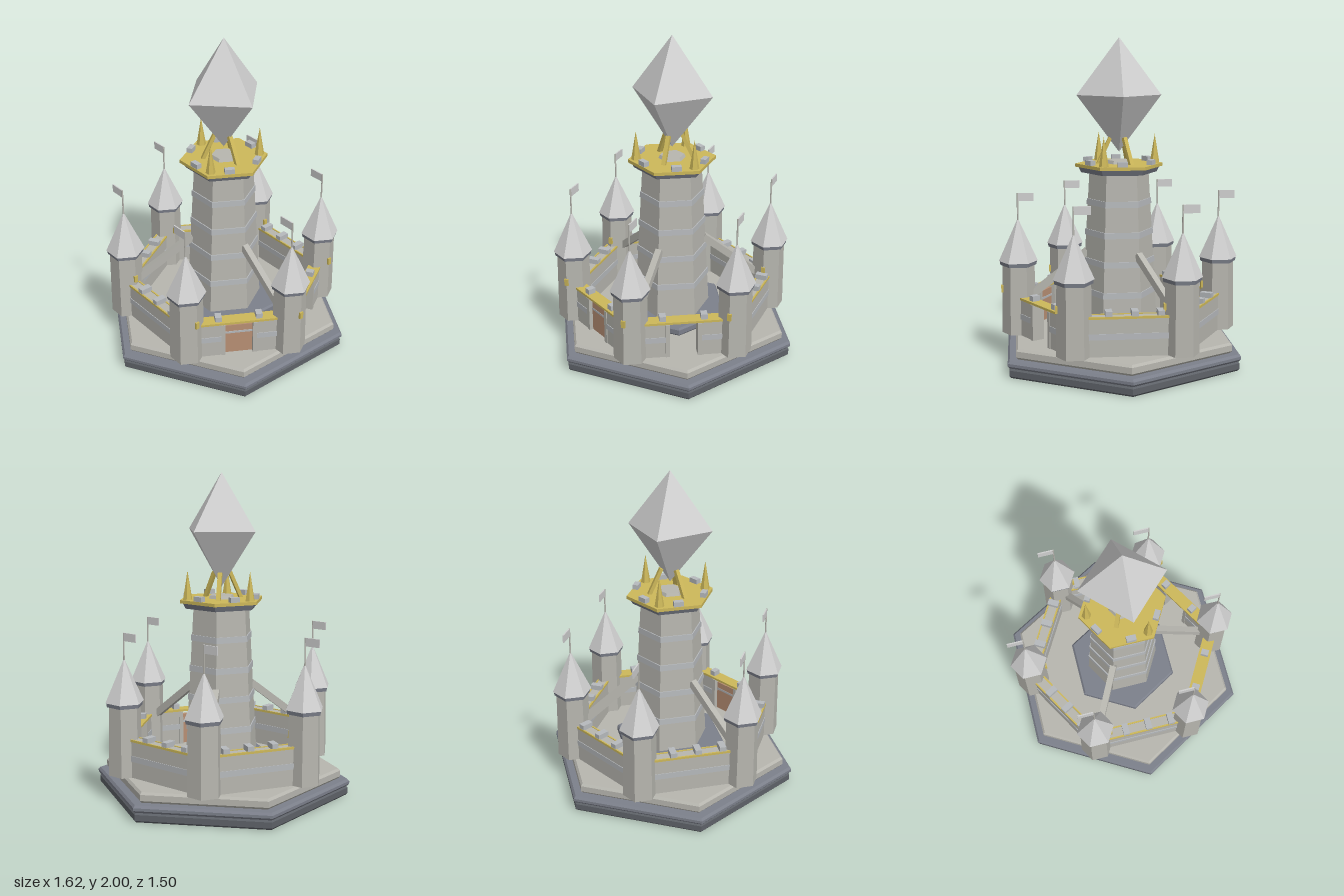
import * as THREE from 'three';

const paint = (name, color) => {
  const m = new THREE.MeshStandardMaterial({ color, flatShading: true });
  m.name = name;
  return m;
};

export function createModel() {
  const stone = paint('stone', 0xb7b6af);
  const trim = paint('paleTrim', 0xb6b9bc);
  const slate = paint('slate', 0x7c808b);
  const dark = paint('darkSlate', 0x5e6268);
  const pale = paint('paleCrystal', 0xd0d0d0);
  const gold = paint('gold', 0xcdb85a);
  const wood = paint('wood', 0xb88f74);

  const root = new THREE.Group();
  root.name = 'castle';

  const add = (parent, name, geometry, material, x = 0, y = 0, z = 0) => {
    const mesh = new THREE.Mesh(geometry, material);
    mesh.name = name;
    mesh.position.set(x, y, z);
    parent.add(mesh);
    return mesh;
  };
  const box = (parent, name, material, w, h, d, x, y, z) =>
    add(parent, name, new THREE.BoxGeometry(w, h, d), material, x, y, z);
  // Six-sided prism from y0 to y1, with a corner facing +z
  const hex = (parent, name, material, r0, r1, y0, y1) =>
    add(parent, name, new THREE.CylinderGeometry(r1, r0, y1 - y0, 6), material, 0, (y0 + y1) / 2, 0);
  // Six-sided slab with bevelled rims and corners on the x axis
  const slab = (name, material, r, y0, y1, b) => {
    const profile = [[0, y0], [r - b, y0], [r, y0 + b], [r, y1 - b], [r - b, y1], [0, y1]]
      .map(([x, y]) => new THREE.Vector2(x, y));
    add(root, name, new THREE.LatheGeometry(profile, 6, Math.PI / 6), material);
  };
  // Square bar between two points
  const bar = (parent, name, material, a, b, w, h) => {
    const mesh = box(parent, name, material, w, h, a.distanceTo(b), 0, 0, 0);
    mesh.position.copy(a).lerp(b, 0.5);
    mesh.lookAt(b);
  };
  const polar = (deg, r, y) => {
    const t = THREE.MathUtils.degToRad(deg);
    return new THREE.Vector3(Math.cos(t) * r, y, Math.sin(t) * r);
  };

  // Stepped base and inner plinth
  slab('baseFoot', dark, 0.8, 0, 0.06, 0.012);
  slab('baseRing', slate, 0.81, 0.06, 0.105, 0.014);
  slab('baseTerrace', stone, 0.752, 0.105, 0.17, 0.014);
  slab('plinth', slate, 0.365, 0.17, 0.225, 0.012);

  // Corner towers with roofs, pennants and small gold plaques
  for (let i = 0; i < 6; i++) {
    const tower = new THREE.Group();
    tower.name = 'cornerTower';
    tower.position.copy(polar(30 + i * 60, 0.63, 0));
    root.add(tower);
    hex(tower, 'towerShaft', stone, 0.106, 0.1, 0.17, 0.605);
    hex(tower, 'towerCollar', slate, 0.112, 0.116, 0.6, 0.627);
    hex(tower, 'towerRoof', pale, 0.121, 0.002, 0.625, 0.89);
    add(tower, 'flagPole', new THREE.CylinderGeometry(0.005, 0.005, 0.18, 6), stone, 0, 0.96, 0);
    box(tower, 'pennant', pale, 0.008, 0.05, 0.1, 0, 1.025, -0.05);
    box(tower, 'towerPlaque', gold, 0.024, 0.045, 0.016, 0, 0.45, 0.101);
  }

  // Curtain walls: local x points outwards, local z runs along the wall
  for (let i = 0; i < 6; i++) {
    const deg = i * 60;
    const gate = deg === 60 || deg === 120;
    const wall = new THREE.Group();
    wall.name = gate ? 'gateWall' : 'curtainWall';
    wall.position.copy(polar(deg, 0.545, 0));
    wall.rotation.y = -THREE.MathUtils.degToRad(deg);
    root.add(wall);
    if (gate) {
      for (const s of [-1, 1]) {
        box(wall, 'wallSection', stone, 0.07, 0.226, 0.19, 0, 0.283, s * 0.18);
        box(wall, 'wallBand', trim, 0.078, 0.036, 0.17, 0, 0.29, s * 0.18);
        box(wall, 'gatePost', stone, 0.08, 0.222, 0.025, 0, 0.281, s * 0.097);
        box(wall, 'merlon', trim, 0.05, 0.036, 0.04, 0, 0.424, s * 0.125);
      }
      box(wall, 'gateLintel', gold, 0.08, 0.014, 0.5, 0, 0.402, 0);
      if (deg === 120) {
        box(wall, 'gateDoor', wood, 0.03, 0.2, 0.172, 0, 0.27, 0);
        box(wall, 'doorStrap', trim, 0.036, 0.014, 0.172, 0, 0.32, 0);
      }
    } else {
      box(wall, 'wallSection', stone, 0.07, 0.235, 0.55, 0, 0.2875, 0);
      box(wall, 'wallBand', trim, 0.078, 0.036, 0.5, 0, 0.29, 0);
      for (const s of [-1, 1]) box(wall, 'wallEdge', gold, 0.01, 0.014, 0.5, s * 0.034, 0.402, 0);
      const flip = deg === 300 ? -1 : 1;
      for (const z of [-0.19, -0.038, 0.115])
        box(wall, 'merlon', trim, 0.074, 0.036, 0.04, 0, 0.42, z * flip);
    }
  }

  // Tapered keep with string courses
  const keepRadius = (y) => 0.243 - 0.058 * (y - 0.17);
  hex(root, 'keepShaft', stone, keepRadius(0.17), keepRadius(1.19), 0.17, 1.19);
  for (const y of [0.42, 0.61, 0.79, 0.98])
    hex(root, 'keepBand', trim, keepRadius(y) + 0.007, keepRadius(y) + 0.005, y - 0.005, y + 0.032);

  // Flying buttresses from three towers up to the keep
  for (const deg of [90, 210, 330])
    bar(root, 'buttress', stone, polar(deg, 0.56, 0.4), polar(deg, 0.2, 0.68), 0.04, 0.045);

  // Crown platform with battlements, spikes and crystal supports
  hex(root, 'crownCorbel', slate, 0.235, 0.255, 1.175, 1.212);
  hex(root, 'crownDeck', gold, 0.272, 0.272, 1.21, 1.23);
  hex(root, 'crystalPedestal', stone, 0.085, 0.075, 1.23, 1.25);
  for (let i = 0; i < 6; i++) {
    const p = polar(i * 60, 0.215, 1.24);
    const m = box(root, 'crownMerlon', trim, 0.035, 0.04, 0.06, p.x, p.y, p.z);
    m.rotation.y = -THREE.MathUtils.degToRad(i * 60);
  }
  for (const deg of [30, 150, 270]) {
    const p = polar(deg, 0.222, 1.32);
    add(root, 'crownSpike', new THREE.ConeGeometry(0.03, 0.18, 6), gold, p.x, p.y, p.z);
  }
  for (const deg of [90, 210, 330])
    bar(root, 'crystalSupport', gold, polar(deg, 0.13, 1.225), polar(deg, 0.055, 1.39), 0.026, 0.022);

  // Great crystal
  const crystal = add(root, 'crystal', new THREE.OctahedronGeometry(1), pale, 0, 1.65, 0);
  crystal.scale.set(0.262, 0.35, 0.262);

  return root;
}
